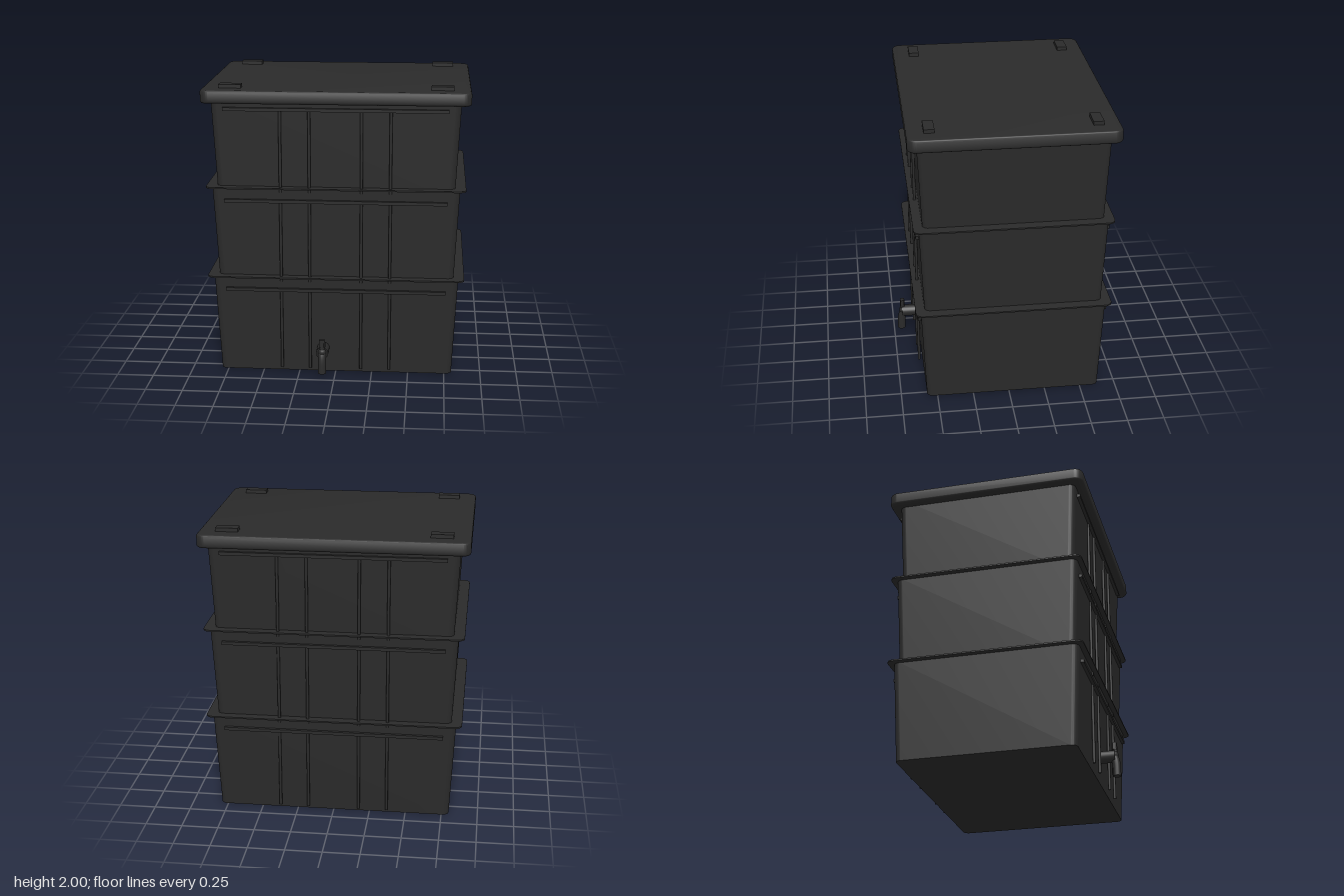
import * as THREE from 'three';
import { toCreasedNormals } from 'three/addons/utils/BufferGeometryUtils.js';

const plastic = new THREE.MeshStandardMaterial({ color: 0x2a2a2a });
plastic.name = 'black plastic';

const TIER_HEIGHT = 0.685;
const TIER_PITCH = 0.625;

function add(parent, name, geometry, x = 0, y = 0, z = 0) {
  const mesh = new THREE.Mesh(geometry, plastic);
  mesh.name = name;
  mesh.position.set(x, y, z);
  parent.add(mesh);
  return mesh;
}

// Upright slab with rounded corners, base at y = 0; halfX and halfZ are outer sizes
function roundedSlab(halfX, halfZ, height, radius, bevel = 0) {
  const a = halfX - bevel, b = halfZ - bevel, r = radius - bevel;
  const shape = new THREE.Shape();
  shape.absarc(a - r, b - r, r, 0, Math.PI / 2);
  shape.absarc(-a + r, b - r, r, Math.PI / 2, Math.PI);
  shape.absarc(-a + r, -b + r, r, Math.PI, Math.PI * 1.5);
  shape.absarc(a - r, -b + r, r, Math.PI * 1.5, Math.PI * 2);
  shape.closePath();
  const geometry = new THREE.ExtrudeGeometry(shape, {
    depth: height - 2 * bevel, curveSegments: 8,
    bevelEnabled: bevel > 0, bevelSize: bevel, bevelThickness: bevel, bevelSegments: 4,
  });
  geometry.translate(0, 0, bevel);
  geometry.rotateX(-Math.PI / 2);
  return geometry;
}

// Bin wall that widens towards the top
function binGeometry() {
  const geometry = roundedSlab(0.8, 0.6, TIER_HEIGHT, 0.04);
  const p = geometry.attributes.position;
  for (let i = 0; i < p.count; i++) {
    const t = p.getY(i) / TIER_HEIGHT;
    p.setX(i, p.getX(i) * (1 + 0.044 * t));
    p.setZ(i, p.getZ(i) * (1 + 0.05 * t));
  }
  return toCreasedNormals(geometry, 0.6);
}

function createTier(geometries) {
  const tier = new THREE.Group();
  add(tier, 'bin', geometries.bin);
  add(tier, 'rim', geometries.rim, 0, TIER_HEIGHT - 0.005, 0);
  for (const side of [1, -1]) {
    for (const x of [-0.37, -0.175, 0.175, 0.37]) {
      add(tier, 'verticalRib', geometries.rib, x, 0.31, side * 0.626);
    }
    add(tier, 'horizontalRib', geometries.bar, 0, 0.595, side * 0.636);
  }
  return tier;
}

function createTap() {
  const tap = new THREE.Group();
  tap.name = 'tap';
  const barrel = new THREE.CylinderGeometry(0.042, 0.042, 0.13, 24).rotateX(Math.PI / 2);
  add(tap, 'tapBarrel', barrel, 0, 0.172, 0.625);
  // Downturned spout
  const path = new THREE.CatmullRomCurve3([
    new THREE.Vector3(0, 0.18, 0.675),
    new THREE.Vector3(0, 0.145, 0.688),
    new THREE.Vector3(0, 0.11, 0.694),
    new THREE.Vector3(0, 0.03, 0.696),
  ]);
  add(tap, 'spout', new THREE.TubeGeometry(path, 16, 0.028, 16));
  add(tap, 'spoutEnd', new THREE.CylinderGeometry(0.028, 0.028, 0.01, 16), 0, 0.035, 0.696);
  add(tap, 'tapDome', new THREE.SphereGeometry(0.03, 16, 12), 0, 0.18, 0.68);
  // Handle with a slightly wider grip
  add(tap, 'handleStem', new THREE.CylinderGeometry(0.016, 0.018, 0.09, 16), 0, 0.22, 0.686);
  add(tap, 'handleGrip', new THREE.BoxGeometry(0.042, 0.05, 0.026), 0, 0.242, 0.686);
  tap.position.x = -0.085;
  return tap;
}

export function createModel() {
  const model = new THREE.Group();
  model.name = 'stackedBins';

  // Stack of bins, set slightly back to leave room for the tap
  const stack = new THREE.Group();
  stack.name = 'stack';
  stack.position.z = -0.03;
  const geometries = {
    bin: binGeometry(),
    rim: toCreasedNormals(roundedSlab(0.875, 0.665, 0.01, 0.05), 0.6),
    rib: new THREE.CylinderGeometry(0.01, 0.01, 0.56, 12),
    bar: new THREE.BoxGeometry(1.5, 0.022, 0.024),
  };
  ['lowerTier', 'middleTier', 'upperTier'].forEach((name, i) => {
    const tier = createTier(geometries);
    tier.name = name;
    tier.position.y = i * TIER_PITCH;
    stack.add(tier);
  });

  // Lid with four locating pads
  add(stack, 'lid', toCreasedNormals(roundedSlab(0.897, 0.69, 0.088, 0.06, 0.015), 0.6), 0, 1.887, 0);
  const pad = new THREE.BoxGeometry(0.15, 0.03, 0.07);
  for (const x of [-0.707, 0.707]) {
    for (const z of [-0.543, 0.543]) add(stack, 'lidPad', pad, x, 1.985, z);
  }

  model.add(stack, createTap());
  return model;
}
